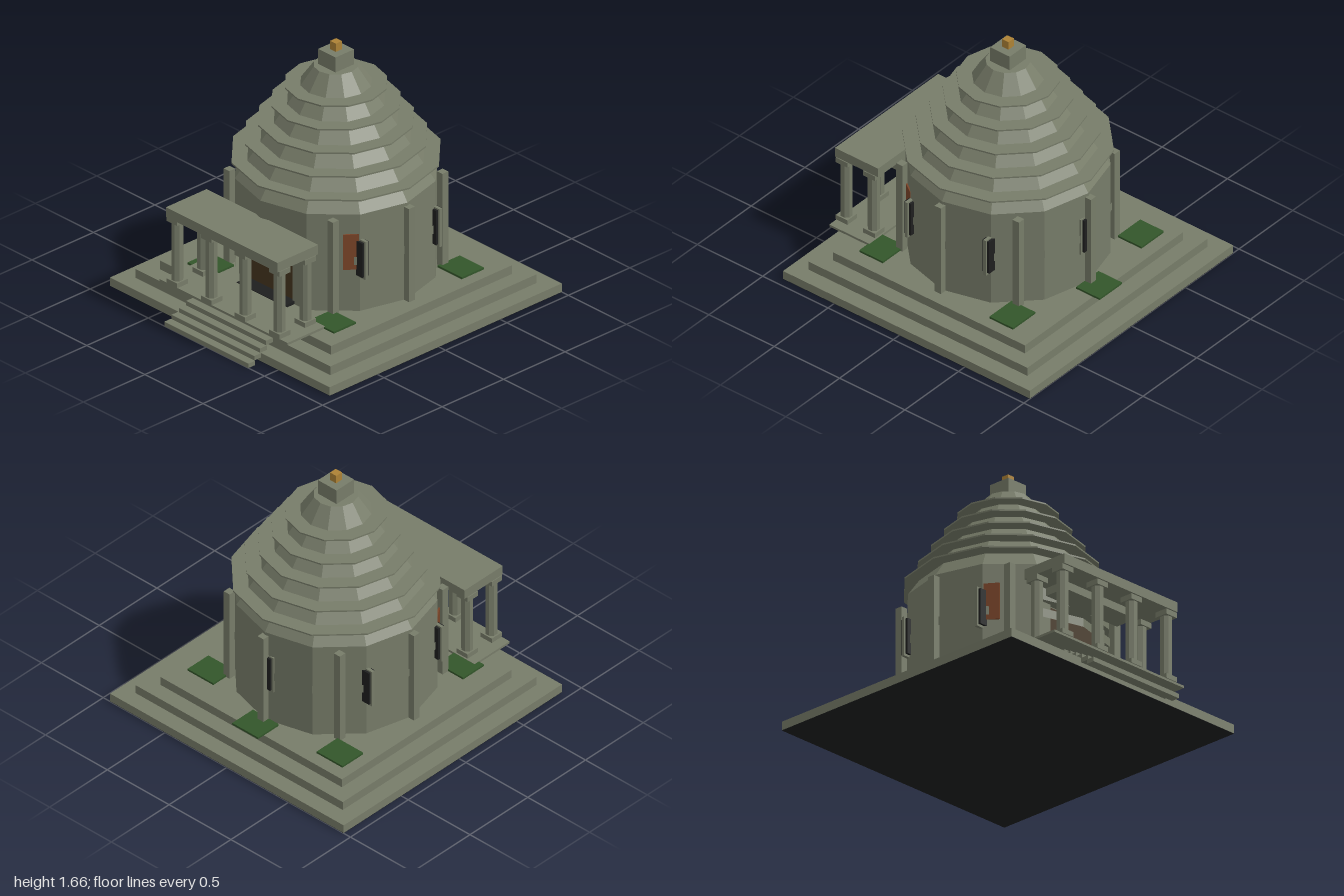
import * as THREE from 'three';

const mat = (name, color, extra = {}) => {
  const m = new THREE.MeshStandardMaterial({ color, flatShading: true, ...extra });
  m.name = name;
  return m;
};

export function createModel() {
  const model = new THREE.Group();
  model.name = 'domedShrine';
  const stone = mat('stone', 0x777c69, { side: THREE.DoubleSide });
  const dark = mat('darkSlate', 0x1e1f1f);
  const wood = mat('doorWood', 0x45351f);
  const rust = mat('rustPanel', 0x7a4428);
  const green = mat('planting', 0x33562a);
  const gold = mat('gold', 0xad8235);
  const CZ = -0.055; // centre of the round hall
  const R = 0.615;

  const add = (name, geo, m, x, y, z) => {
    const mesh = new THREE.Mesh(geo, m);
    mesh.name = name;
    mesh.position.set(x, y, z);
    model.add(mesh);
    return mesh;
  };
  // box given by its limits
  const box = (name, m, x0, x1, y0, y1, z0, z1) =>
    add(name, new THREE.BoxGeometry(x1 - x0, y1 - y0, z1 - z0), m,
      (x0 + x1) / 2, (y0 + y1) / 2, (z0 + z1) / 2);
  // twelve-sided drum around the hall's axis
  const drum = (name, rTop, rBottom, y0, y1, open = false, start = 0, sides = 12) =>
    add(name, new THREE.CylinderGeometry(rTop, rBottom, y1 - y0, sides, 1, open,
      start, sides * Math.PI / 6), stone, 0, (y0 + y1) / 2, CZ);

  // stepped square base on a thin dark underside
  box('baseUnderside', dark, -0.945, 0.945, 0, 0.002, CZ - 0.945, CZ + 0.945);
  [0.945, 0.838, 0.735].forEach((h, i) =>
    box('baseTier', stone, -h, h, i ? i * 0.0583 : 0.002, (i + 1) * 0.0583, CZ - h, CZ + h));

  // hall wall with the two front faces open below the upper band
  drum('hallWall', R, R, 0.175, 0.6, true, Math.PI / 6, 10);
  drum('upperWall', R, R, 0.6, 0.82);
  drum('belt', 0.622, 0.622, 0.485, 0.54, true);

  // conical roof with thin projecting rings
  drum('roof', 0.135, R, 0.82, 1.51);
  for (let i = 0; i < 5; i++) {
    const r = 0.635 - i * 0.081, y = 0.919 + i * 0.116;
    drum('roofRing', r, r, y, y + 0.01);
  }
  box('roofCap', stone, -0.075, 0.075, 1.51, 1.61, CZ - 0.075, CZ + 0.075);
  box('finial', gold, -0.025, 0.025, 1.61, 1.665, CZ - 0.025, CZ + 0.025);

  // pilasters all round except at the door
  for (let i = 1; i < 8; i++) {
    const a = i * Math.PI / 4, x = Math.sin(a) * 0.63, z = CZ + Math.cos(a) * 0.63;
    box('pilaster', stone, x - 0.024, x + 0.024, 0.175, 0.8, z - 0.024, z + 0.024);
  }

  // windows, each a dark block crossed by a taller stone plate
  for (let i = 1; i < 6; i++) {
    const a = i * Math.PI / 3, x = Math.sin(a) * 0.6, z = CZ + Math.cos(a) * 0.6;
    box('window', dark, x - 0.05, x + 0.05, 0.415, 0.645, z - 0.025, z + 0.025);
    box('windowFrame', stone, x - 0.063, x + 0.063, 0.4, 0.655, z - 0.01, z + 0.01);
  }

  // doorway
  box('doorBackWall', stone, -0.3, 0.3, 0.175, 0.6, 0.42, 0.45);
  box('door', wood, -0.19, 0.19, 0.19, 0.585, 0.45, 0.465);
  box('threshold', dark, -0.205, 0.205, 0.175, 0.194, 0.465, 0.56);

  for (const s of [-1, 1]) {
    add('doorJamb', new THREE.BoxGeometry(0.075, 0.42, 0.03), stone, s * 0.225, 0.385, 0.462);
    // rust-coloured panels beside the front windows, partly under the belt
    const a = s * 55 * Math.PI / 180;
    add('wallPanel', new THREE.BoxGeometry(0.095, 0.235, 0.01), rust,
      Math.sin(a) * 0.608, 0.573, CZ + Math.cos(a) * 0.608).rotation.y = a;
  }

  // porch
  box('porchFloor', stone, -0.55, 0.55, 0.175, 0.19, 0.555, 0.86);
  box('porchRoof', stone, -0.48, 0.48, 0.642, 0.705, 0.545, 0.875);
  box('porchBeam', stone, -0.3, 0.3, 0.592, 0.642, 0.55, 0.705);
  const column = (x, z) => {
    const block = (name, y0, y1) =>
      box(name, stone, x - 0.045, x + 0.045, y0, y1, z - 0.045, z + 0.045);
    block('columnBase', 0.19, 0.222);
    add('columnShaft', new THREE.CylinderGeometry(0.038, 0.038, 0.386, 8), stone,
      x, 0.415, z).rotation.y = Math.PI / 8;
    block('columnCapital', 0.608, 0.642);
  };
  for (const x of [-0.44, -0.145, 0.145, 0.44]) column(x, 0.82);
  for (const x of [-0.44, 0.44]) column(x, 0.61);

  // open entrance steps, narrowing upwards
  for (let i = 0; i < 6; i++) {
    const w = 0.362 - i * 0.006, z = 1 - i * 0.0535;
    box('entranceStep', stone, -w, w, i * 0.0292, (i + 1) * 0.0292, z - 0.055, z);
  }

  // planting beds
  for (const [x, z] of [[-0.555, -0.615], [0, -0.752], [0.555, -0.545], [0.53, 0.472], [-0.487, 0.503]])
    box('plantingBed', green, x - 0.104, x + 0.104, 0.175, 0.188, z - 0.09, z + 0.09);

  return model;
}
